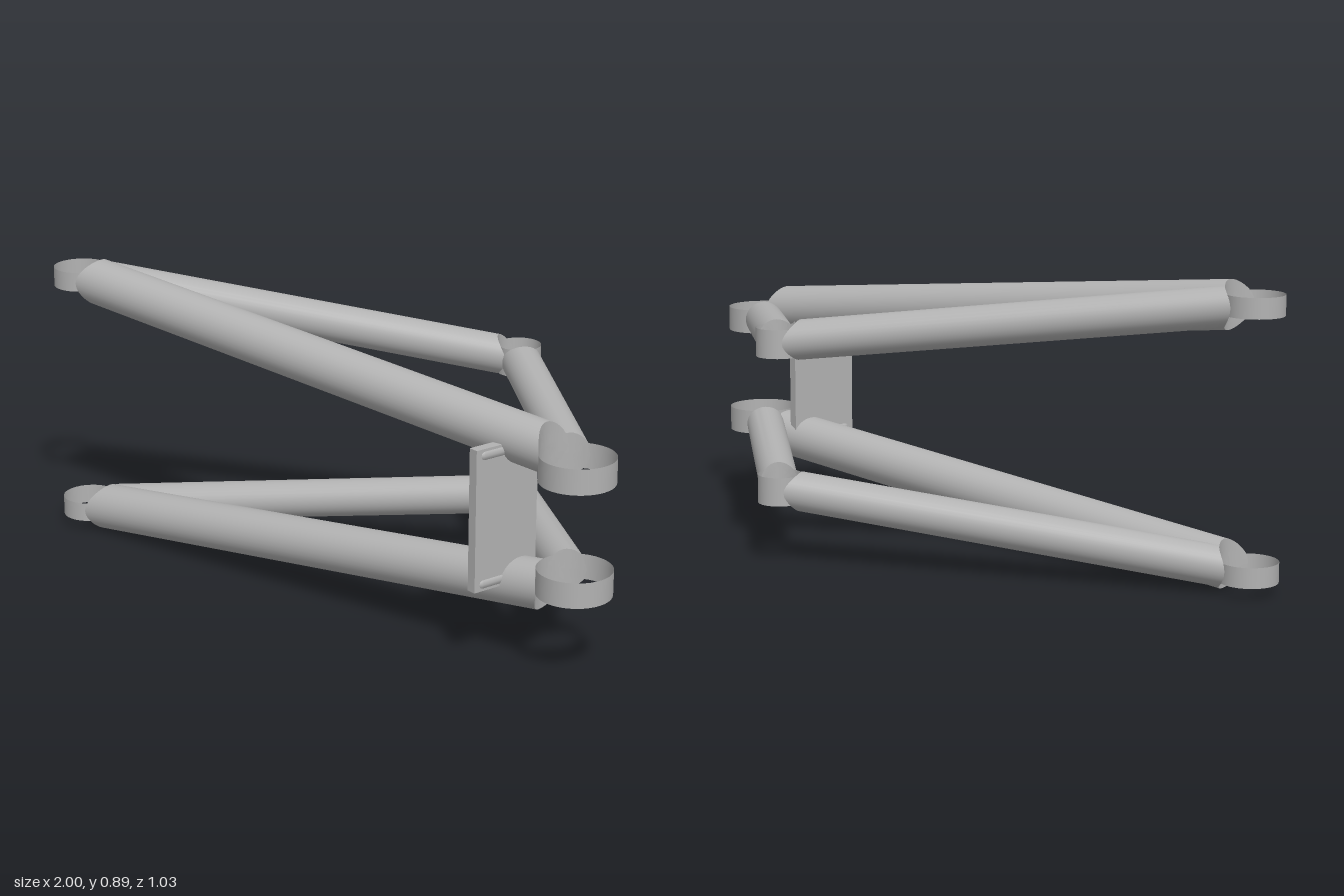
import * as THREE from 'three';
import { toCreasedNormals } from 'three/addons/utils/BufferGeometryUtils.js';

const MID = 0.435; // height of the mirror plane between both frames
const SIDES = 32;

// Distance along d from offset o at which the vertical bore of radius R is crossed.
function boreHit(o, d, R, sign) {
  const a = d.x * d.x + d.z * d.z;
  const b = o.x * d.x + o.z * d.z;
  const c = o.x * o.x + o.z * o.z - R * R;
  return (-b + sign * Math.sqrt(Math.max(0, b * b - a * c))) / a;
}

// Round tube from bore to bore, both ends coped to the bore walls.
function copedTube(p, q, Rp, Rq, r) {
  const d = q.clone().sub(p).normalize();
  const u = new THREE.Vector3(0, 1, 0).cross(d).normalize();
  const v = d.clone().cross(u);
  const pos = [], index = [];
  // [share of the radius, at far end]
  const rings = [[0, 0], [0.35, 0], [0.7, 0], [1, 0], [1, 1], [0.7, 1], [0.35, 1], [0, 1]];
  for (const [share, far] of rings) {
    for (let i = 0; i <= SIDES; i++) {
      const t = (i / SIDES) * Math.PI * 2;
      const o = u.clone().multiplyScalar(Math.cos(t) * r * share)
        .addScaledVector(v, Math.sin(t) * r * share);
      const s = boreHit(o, d, far ? Rq : Rp, far ? -1 : 1);
      const w = o.addScaledVector(d, s).add(far ? q : p);
      pos.push(w.x, w.y, w.z);
    }
  }
  const n = SIDES + 1;
  for (let j = 0; j < rings.length - 1; j++) {
    for (let i = 0; i < SIDES; i++) {
      const a = j * n + i, b = a + 1, c = a + n, e = c + 1;
      if (j > 0) index.push(a, b, c);
      if (j < rings.length - 2 || j === 0) index.push(b, e, c);
      else index.push(a, b, c);
    }
  }
  const g = new THREE.BufferGeometry();
  g.setAttribute('position', new THREE.Float32BufferAttribute(pos, 3));
  g.setIndex(index);
  return toCreasedNormals(g, 0.7);
}

export function createModel() {
  const model = new THREE.Group();
  model.name = 'linkFrame';
  const metal = new THREE.MeshStandardMaterial({ color: 0xb2b2b2, side: THREE.DoubleSide });
  metal.name = 'grey metal';

  const add = (parent, name, geometry) => {
    const mesh = new THREE.Mesh(geometry, metal);
    mesh.name = name;
    parent.add(mesh);
    return mesh;
  };

  // Pivot bores: position of the upper one, radius and height
  const nodes = {
    tail: { x: -0.915, y: 0.817, z: 0.425, r: 0.085, h: 0.06 },
    rear: { x: 0.17, y: 0.655, z: -0.452, r: 0.066, h: 0.085 },
    head: { x: 0.892, y: 0.6, z: -0.05, r: 0.108, h: 0.075 },
  };
  // Tubes: ends, radius, lift of the far end
  const tubes = [
    ['mainTube', 'tail', 'head', 0.072, 0.028],
    ['rearTube', 'tail', 'rear', 0.059, 0],
    ['shortTube', 'rear', 'head', 0.059, 0],
  ];

  // Two triangular frames mirrored about the middle height
  for (const side of [1, -1]) {
    const frame = new THREE.Group();
    frame.name = side > 0 ? 'upperFrame' : 'lowerFrame';
    const at = (n, lift = 0) =>
      new THREE.Vector3(n.x, MID + side * (n.y + lift - MID), n.z);

    for (const [name, from, to, r, lift] of tubes) {
      const a = nodes[from], b = nodes[to];
      add(frame, name, copedTube(at(a), at(b, lift), a.r, b.r, r));
    }
    // Thin open collars around the bores
    for (const [key, n] of Object.entries(nodes)) {
      const collar = add(frame, key + 'Collar',
        new THREE.CylinderGeometry(n.r, n.r, n.h, 40, 1, true));
      collar.position.copy(at(n));
    }
    model.add(frame);
  }

  // Upright plate joining both main tubes
  const plate = add(model, 'joiningPlate', new THREE.BoxGeometry(0.03, 0.42, 0.22));
  plate.position.set(0.7, MID, 0.05);

  // Rounded weld beads where the plate meets the tubes
  for (const side of [1, -1]) {
    const bead = add(model, 'weldBead', new THREE.CapsuleGeometry(0.02, 0.16, 6, 12));
    bead.rotation.x = Math.PI / 2;
    bead.position.set(0.7, MID + side * 0.19, 0.05);
  }
  return model;
}
